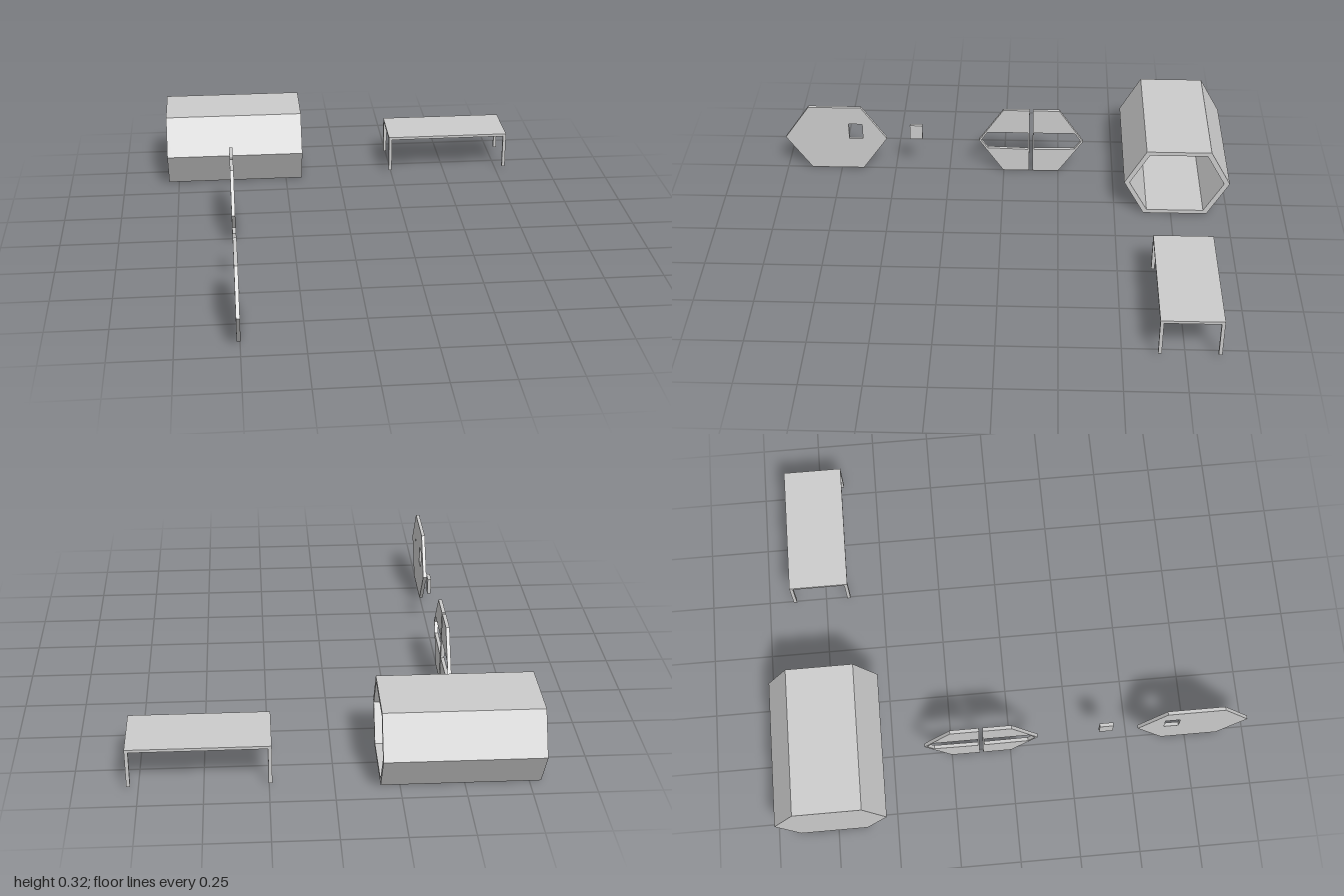
import * as THREE from 'three';

const material = new THREE.MeshStandardMaterial({ color: 0xcccccc, flatShading: true });
const HEIGHT = 0.322, MID = HEIGHT / 2;
const PANEL_X = -0.513, PANEL_T = 0.015;

// Hexagon outline as [z, y] points
function hexagon(cz, halfWidth, halfFlat, y0, y1) {
  return [
    [cz - halfFlat, y0], [cz + halfFlat, y0], [cz + halfWidth, MID],
    [cz + halfFlat, y1], [cz - halfFlat, y1], [cz - halfWidth, MID],
  ];
}

function rectangle(z0, z1, y0, y1) {
  return [[z0, y0], [z1, y0], [z1, y1], [z0, y1]];
}

// Extrudes a [z, y] outline along +x from x0; holes are listed in the outline's
// direction and reversed here so their walls face into the opening
function slab(name, outline, holes, x0, depth) {
  const toPoints = (pts) => pts.map(([z, y]) => new THREE.Vector2(-z, y));
  const shape = new THREE.Shape(toPoints(outline));
  holes.forEach((h) => shape.holes.push(new THREE.Path(toPoints(h).reverse())));
  const geometry = new THREE.ExtrudeGeometry(shape, { depth, bevelEnabled: false });
  geometry.rotateY(Math.PI / 2).translate(x0, 0, 0);
  const mesh = new THREE.Mesh(geometry, material);
  mesh.name = name;
  return mesh;
}

function box(name, x0, x1, y0, y1, z0, z1) {
  const mesh = new THREE.Mesh(new THREE.BoxGeometry(x1 - x0, y1 - y0, z1 - z0), material);
  mesh.position.set((x0 + x1) / 2, (y0 + y1) / 2, (z0 + z1) / 2);
  mesh.name = name;
  return mesh;
}

function group(name, ...parts) {
  const g = new THREE.Group();
  g.name = name;
  g.add(...parts);
  return g;
}

// Hollow hexagonal body, open at +x and closed at -x
function createCapsule() {
  const outer = hexagon(-0.769, 0.231, 0.14, 0, HEIGHT);
  const inner = hexagon(-0.768, 0.207, 0.125, 0.018, HEIGHT - 0.018);
  return group('capsule',
    slab('capsuleEndWall', outer, [], -0.796, 0.015),
    slab('capsuleShell', outer, [inner], -0.781, 0.605));
}

// Solid hexagonal panel with a window opening and a small knob
function createDoor() {
  const outline = hexagon(0.768, 0.232, 0.119, 0, HEIGHT);
  const windowHole = rectangle(0.646, 0.708, 0.158, 0.236);
  const face = PANEL_X + PANEL_T;
  return group('door',
    slab('doorPanel', outline, [windowHole], PANEL_X, PANEL_T),
    box('doorKnob', face, face + 0.002, 0.197, 0.204, 0.861, 0.869));
}

// Two mirrored half hexagons, each with a wide opening across the middle
function createSplitPanel() {
  const outline = [[0, 0], [0.119, 0], [0.23, MID], [0.119, HEIGHT], [0, HEIGHT]];
  const opening = [[0.006, 0.115], [0.19, 0.12], [0.22, MID], [0.191, 0.204], [0.006, 0.204]];
  const halves = [1, -1].map((side) => {
    const place = (pts) => pts.map(([u, y]) => [-0.124 + side * (u + 0.0075), y]);
    return slab(side > 0 ? 'frontHalfPanel' : 'backHalfPanel',
      place(outline), [place(opening)], PANEL_X, PANEL_T);
  });
  return group('splitPanel', ...halves);
}

// Thin table with four square legs
function createTable() {
  const [x0, x1, z0, z1, leg] = [0.238, 0.794, -0.893, -0.642, 0.014];
  const table = group('table', box('tableTop', x0, x1, 0.169, 0.181, z0, z1));
  for (const x of [x0, x1 - leg]) {
    for (const z of [z0, z1 - leg]) {
      table.add(box('tableLeg', x, x + leg, 0.015, 0.169, z, z + leg));
    }
  }
  return table;
}

export function createModel() {
  return group('model',
    createCapsule(),
    createDoor(),
    box('windowPane', PANEL_X, PANEL_X + PANEL_T, 0.161, 0.233, 0.372, 0.429),
    createSplitPanel(),
    createTable());
}
